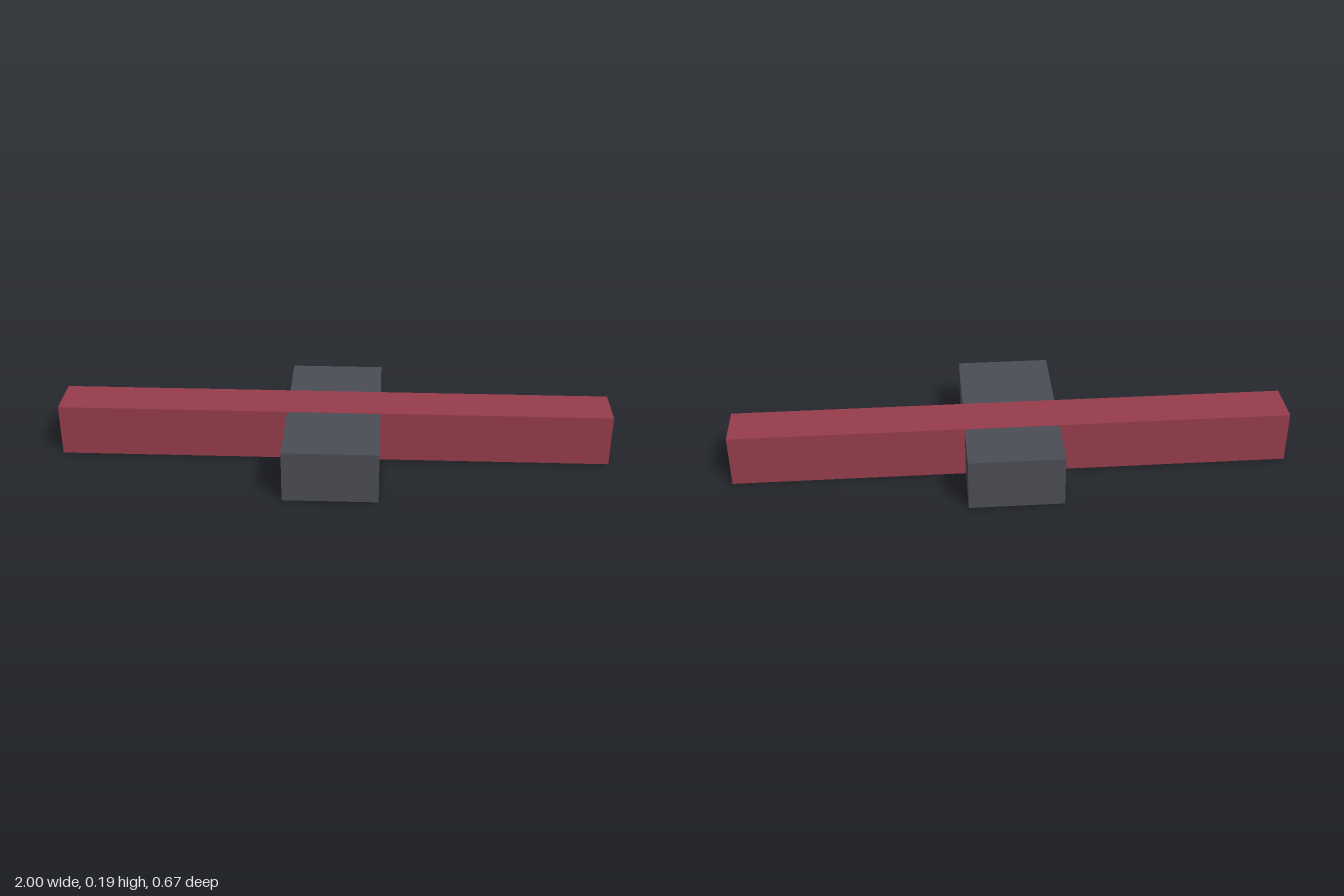
import * as THREE from 'three';

// Box given by its size and centre, standing on the ground (lift raises its underside)
function block(name, color, width, height, depth, x, z, lift = 0) {
  const mesh = new THREE.Mesh(
    new THREE.BoxGeometry(width, height, depth),
    new THREE.MeshStandardMaterial({ color })
  );
  mesh.name = name;
  mesh.position.set(x, lift + height / 2, z);
  return mesh;
}

export function createModel() {
  const model = new THREE.Group();
  model.name = 'crossedBlocks';

  // Long red crossbar, set slightly towards the back
  model.add(block('crossbar', 0x963c4c, 2, 0.19, 0.168, 0, -0.042));

  // Short dark body through the crossbar, a hair thinner so the faces do not coincide
  model.add(block('body', 0x4b4d54, 0.336, 0.188, 0.672, 0, 0, 0.001));

  return model;
}
